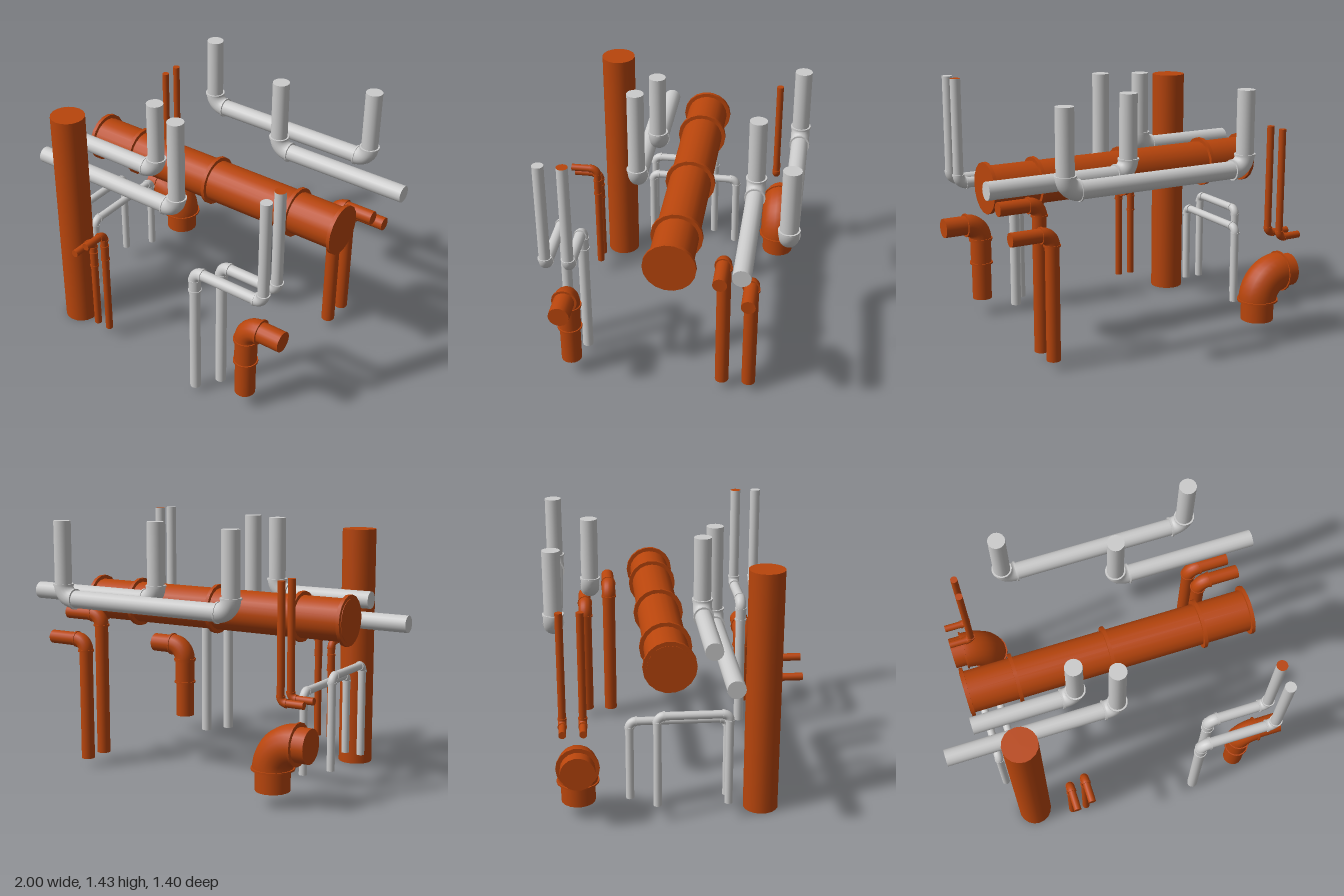
import * as THREE from 'three';

const V = (p) => new THREE.Vector3(...p);
const grey = new THREE.MeshStandardMaterial({ color: 0xcccccc });
const orange = new THREE.MeshStandardMaterial({ color: 0xb8450c });
const UP = new THREE.Vector3(0, 1, 0);

// closed cylinder between two points
function rod(a, b, r, mat, name, sides = 18) {
  const dir = b.clone().sub(a);
  const mesh = new THREE.Mesh(new THREE.CylinderGeometry(r, r, dir.length(), sides), mat);
  mesh.position.copy(a).add(b).multiplyScalar(0.5);
  mesh.quaternion.setFromUnitVectors(UP, dir.normalize());
  mesh.name = name;
  return mesh;
}

// thin collar around a pipe, centred on p and facing along dir
function collar(p, dir, r, mat, width = 0.01) {
  const h = dir.clone().multiplyScalar(width / 2);
  return rod(p.clone().sub(h), p.clone().add(h), r, mat, 'collar');
}

// pipe run through points, with a fatter collared elbow at each corner
function pipe(name, points, r, mat, { reach = r * 1.6, elbowR = r * 1.1, collarR = r * 1.2, capMat = mat } = {}) {
  const group = new THREE.Group();
  group.name = name;
  const pts = points.map(V);
  const last = pts.length - 1;
  for (let i = 0; i < last; i++) {
    const dir = pts[i + 1].clone().sub(pts[i]).normalize();
    const a = pts[i].clone().addScaledVector(dir, i > 0 ? reach : 0);
    const b = pts[i + 1].clone().addScaledVector(dir, i + 1 < last ? -reach : 0);
    group.add(rod(a, b, r, [mat, capMat, capMat], 'straightPipe'));
    if (i > 0) group.add(collar(a, dir, collarR, mat));
    if (i + 1 < last) {
      group.add(collar(b, dir, collarR, mat));
      const next = pts[i + 2].clone().sub(pts[i + 1]).normalize();
      const c = pts[i + 1].clone().addScaledVector(next, reach);
      const k = reach * 0.5523;
      const curve = new THREE.CubicBezierCurve3(b, b.clone().addScaledVector(dir, k), c.clone().addScaledVector(next, -k), c);
      const elbow = new THREE.Mesh(new THREE.TubeGeometry(curve, 10, elbowR, 18), mat);
      elbow.name = 'elbow';
      group.add(elbow);
    }
  }
  return group;
}

// vertical coupling sleeve with a collar at each end
function sleeve(group, x, z, y0, y1, r, mat) {
  const a = V([x, y0, z]), b = V([x, y1, z]);
  group.add(rod(a, b, r * 1.08, mat, 'sleeve'), collar(a, UP, r * 1.2, mat), collar(b, UP, r * 1.2, mat));
}

export function createModel() {
  const model = new THREE.Group();
  model.name = 'pipeSet';

  // large flanged main
  const main = new THREE.Group();
  main.name = 'mainPipe';
  main.add(rod(V([-0.8, 0.916, -0.06]), V([0.85, 0.916, -0.06]), 0.118, orange, 'mainBarrel', 20));
  for (const x of [-0.787, -0.51, 0.025, 0.56, 0.84]) {
    main.add(collar(V([x, 0.916, -0.06]), V([1, 0, 0]), 0.14, orange, 0.02));
  }
  model.add(main);

  // standing column
  model.add(rod(V([-0.603, 0, 0.453]), V([-0.603, 1.36, 0.453]), 0.096, orange, 'column', 18));

  // overhead grey pipes
  const top = 1.427, R = 0.048;
  model.add(
    pipe('overheadPipeBackLeft', [[1, 1, -0.44], [0.19, 1, -0.44], [0.19, top, -0.44]], R, grey),
    pipe('overheadPipeBack', [[-0.41, top, -0.645], [-0.41, 1, -0.645], [0.665, 1, -0.645], [0.665, top, -0.645]], R, grey),
    pipe('overheadPipeFront', [[-1, 0.87, 0.253], [-0.02, 0.87, 0.253], [-0.02, top, 0.253]], R, grey),
    pipe('overheadPipeMiddle', [[-0.815, 1, 0.163], [-0.23, 1, 0.163], [-0.23, top, 0.163]], R, grey),
  );

  // stepped grey pipes
  for (const [x, z, capMat] of [[0.36, 0.597, grey], [0.445, 0.475, orange]]) {
    const run = pipe('steppedPipe', [[x, 0.035, z], [x, 0.822, z], [0.787, 0.822, z], [0.787, top, z]], 0.03, grey, { capMat });
    sleeve(run, x, z, 0.705, 0.77, 0.03, grey);
    model.add(run);
  }

  // arched grey pipes
  for (const [x, y, back] of [[-0.725, 0.615, -0.12], [-0.63, 0.547, -0.262]]) {
    model.add(pipe('archedPipe', [[x, 0.095, 0.26], [x, y, 0.26], [x, y, back], [x, 0.095, back]], 0.022, grey));
  }

  // thin orange pipes turning forward
  for (const [x, y] of [[-0.39, 0.67], [-0.305, 0.752]]) {
    const run = pipe('thinFrontPipe', [[x, 0.085, 0.547], [x, y, 0.547], [x, y, 0.7]], 0.021, orange, { reach: 0.04 });
    sleeve(run, x, 0.547, y - 0.17, y - 0.08, 0.021, orange);
    model.add(run);
  }

  // thin orange pipes turning to the right at the bottom
  for (const z of [-0.505, -0.612]) {
    model.add(pipe('thinBackPipe', [[-0.682, 1.183, z], [-0.682, 0.568, z], [-0.815, 0.568, z]], 0.02, orange));
  }

  // wide elbow
  model.add(pipe('wideElbow', [[-0.6, 0.08, -0.54], [-0.6, 0.342, -0.54], [-0.818, 0.342, -0.54]], 0.093, orange,
    { reach: 0.145, elbowR: 0.108, collarR: 0.116 }));

  // front elbow pipe with sleeve
  const bend = pipe('frontElbowPipe', [[0.642, 0.095, 0.525], [0.642, 0.553, 0.525], [0.87, 0.553, 0.525]], 0.057, orange,
    { reach: 0.09, elbowR: 0.064, collarR: 0.07 });
  sleeve(bend, 0.642, 0.525, 0.315, 0.455, 0.057, orange);
  model.add(bend);

  // back orange pipes turning to the left at the top
  for (const [z, y] of [[-0.322, 0.865], [-0.47, 0.74]]) {
    model.add(pipe('backElbowPipe', [[0.657, 0.05, z], [0.657, y, z], [0.89, y, z]], 0.038, orange));
  }

  return model;
}
